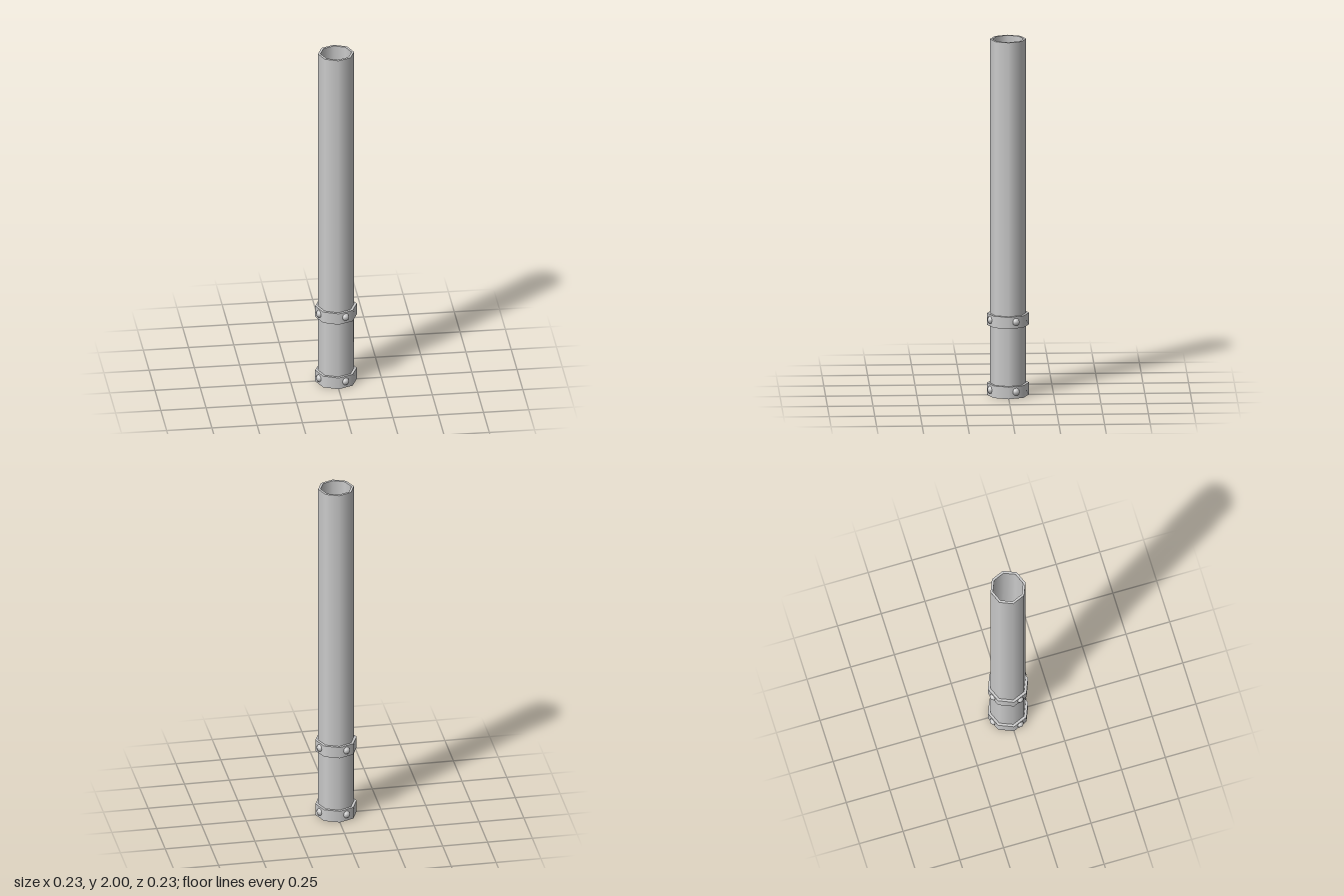
import * as THREE from 'three';
import { mergeGeometries } from 'three/addons/utils/BufferGeometryUtils.js';

const SIDES = 8;
const material = new THREE.MeshStandardMaterial({ color: 0xcccccc });

function lathe(points) {
  return new THREE.LatheGeometry(points.map(([r, y]) => new THREE.Vector2(r, y)), SIDES);
}

// Lathe smooth around the axis, with hard edges between profile segments
function hardLathe(points) {
  return mergeGeometries(points.slice(1).map((p, i) => lathe([points[i], p])));
}

function addMesh(parent, name, geometry) {
  const mesh = new THREE.Mesh(geometry, material);
  mesh.name = name;
  parent.add(mesh);
  return mesh;
}

export function createModel() {
  const model = new THREE.Group();
  model.name = 'octagonalTube';

  // Outer wall with closed base and top rim
  addMesh(model, 'tubeShell', hardLathe([[0, 0], [0.1, 0], [0.1, 2], [0.086, 2]]));

  // Hollow bore, shaded smoothly into its floor
  addMesh(model, 'tubeBore', lathe([[0.086, 2], [0.086, 0.02], [0, 0.02]]));

  // Two collars, each with four rivets on alternate faces
  const rivetGeometry = new THREE.SphereGeometry(0.022, 8, 6);
  for (const [name, bottom, top] of [['lowerCollar', 0, 0.068], ['upperCollar', 0.394, 0.46]]) {
    const collar = new THREE.Group();
    collar.name = name;
    addMesh(collar, 'band', hardLathe([[0.098, bottom], [0.115, bottom], [0.115, top], [0.098, top]]));
    for (let i = 0; i < 4; i++) {
      const angle = Math.PI / 8 + i * Math.PI / 2;
      const rivet = addMesh(collar, 'rivet', rivetGeometry);
      rivet.position.set(Math.sin(angle) * 0.102, (bottom + top) / 2 + 0.003, Math.cos(angle) * 0.102);
      rivet.rotation.y = angle;
    }
    model.add(collar);
  }
  return model;
}
